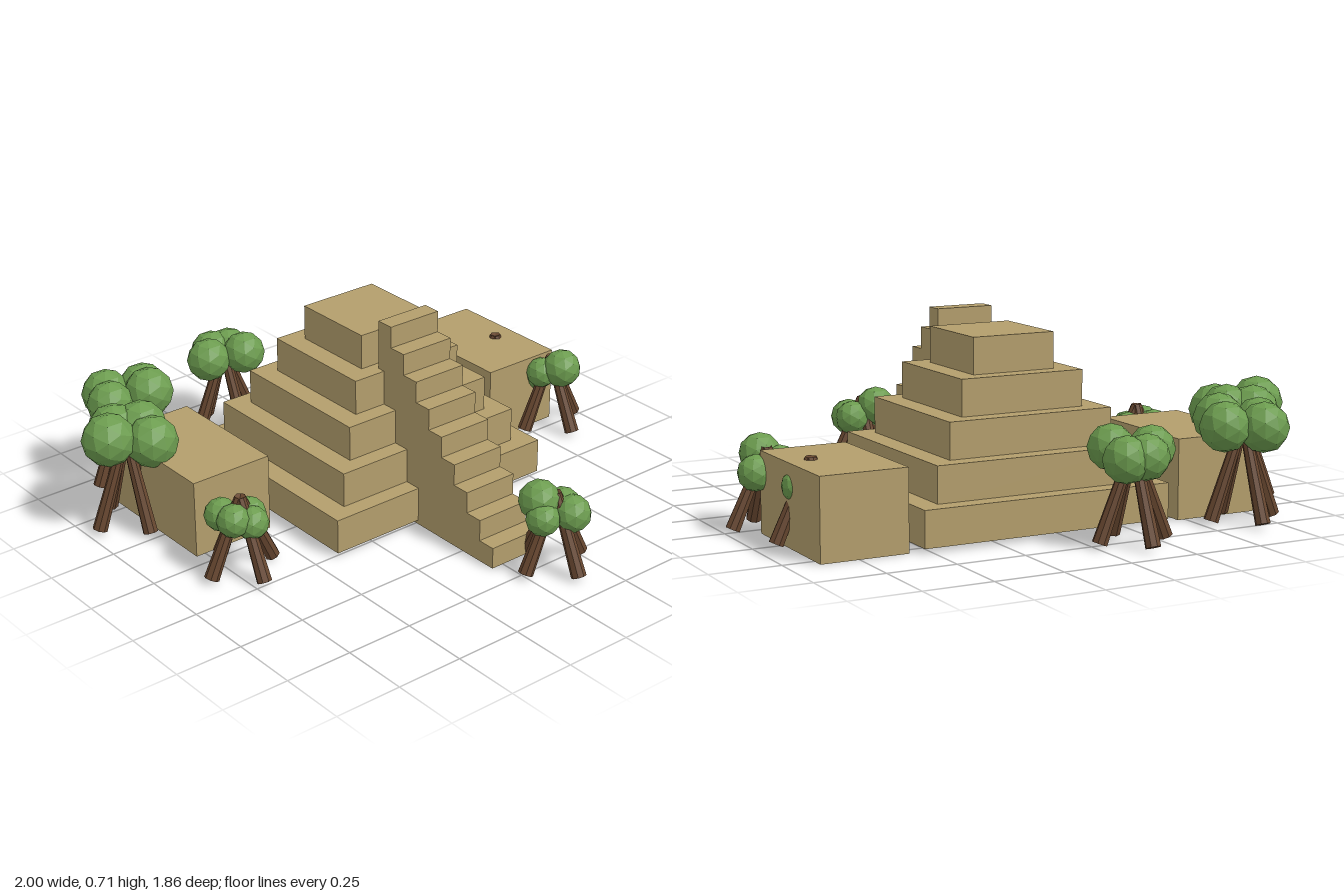
import * as THREE from 'three';

const material = (name, color, flatShading = false) => {
  const m = new THREE.MeshStandardMaterial({ color, flatShading });
  m.name = name;
  return m;
};

export function createModel() {
  const sand = material('sandstone', 0xb39e6c);
  const bark = material('bark', 0x66462f, true);
  const leaf = material('foliage', 0x6c9c4f, true);
  const model = new THREE.Group();
  model.name = 'steppedPyramid';

  // Box given by its limits on each axis
  const block = (name, x0, x1, y0, y1, z0, z1) => {
    const mesh = new THREE.Mesh(new THREE.BoxGeometry(x1 - x0, y1 - y0, z1 - z0), sand);
    mesh.position.set((x0 + x1) / 2, (y0 + y1) / 2, (z0 + z1) / 2);
    mesh.name = name;
    model.add(mesh);
  };

  // Pyramid tiers
  for (let i = 0; i < 5; i++) {
    const hx = 0.47 - i * 0.0785, hz = 0.42 - i * 0.064, y = 0.016 + i * 0.129;
    block('tier' + (i + 1), 0.059 - hx, 0.059 + hx, y, y + 0.129, -0.159 - hz, -0.159 + hz);
  }

  // Staircase of solid columns
  const rise = 0.715 / 9, run = 0.0685;
  for (let i = 0; i < 9; i++) {
    const z = 0.655 - i * run;
    block('stair' + (i + 1), -0.048, 0.166, 0, (i + 1) * rise, z - run, z);
  }

  // Side buildings
  block('leftBuilding', 0.572, 0.888, 0, 0.288, -0.55, -0.053);
  block('rightBuilding', -0.786, -0.47, 0, 0.288, -0.55, -0.053);

  // Tree: four leaning trunks and four leaf clumps [x, y, z, radius]
  const up = new THREE.Vector3(0, 1, 0);
  const tree = (name, x, z, height, clumps) => {
    const group = new THREE.Group();
    group.name = name;
    for (let i = 0; i < 4; i++) {
      const a = i * Math.PI / 2;
      const foot = new THREE.Vector3(x + 0.128 * Math.cos(a), 0.015, z + 0.128 * Math.sin(a));
      const top = new THREE.Vector3(x + 0.003 * Math.cos(a), height, z + 0.003 * Math.sin(a));
      const axis = top.clone().sub(foot);
      const trunk = new THREE.Mesh(new THREE.CylinderGeometry(0.018, 0.027, axis.length(), 8), bark);
      trunk.position.copy(foot).add(top).multiplyScalar(0.5);
      trunk.quaternion.setFromUnitVectors(up, axis.normalize());
      trunk.name = 'trunk';
      group.add(trunk);
    }
    for (const [cx, cy, cz, r] of clumps) {
      const clump = new THREE.Mesh(new THREE.IcosahedronGeometry(r, 1), leaf);
      clump.position.set(cx, cy, cz);
      clump.name = 'leafClump';
      group.add(clump);
    }
    model.add(group);
  };

  // Short trees
  tree('frontTree', 0.127, 0.77, 0.285, [
    [0.085, 0.258, 0.735, 0.073], [0.057, 0.215, 0.785, 0.06],
    [0.166, 0.21, 0.812, 0.068], [0.175, 0.215, 0.755, 0.065]]);
  tree('frontRightTree', -0.717, 0.12, 0.285, [
    [-0.762, 0.215, 0.07, 0.06], [-0.675, 0.205, 0.11, 0.06],
    [-0.76, 0.22, 0.14, 0.06], [-0.7, 0.2, 0.16, 0.06]]);
  tree('leftTree', 0.848, -0.014, 0.285, [
    [0.85, 0.258, 0.042, 0.073], [0.80, 0.235, -0.015, 0.058],
    [0.9, 0.21, -0.045, 0.065], [0.825, 0.21, -0.055, 0.062]]);
  tree('buriedTree', 0.80, -0.28, 0.292, [
    [0.85, 0.205, -0.29, 0.058], [0.77, 0.22, -0.25, 0.06],
    [0.76, 0.21, -0.31, 0.06], [0.81, 0.2, -0.24, 0.06]]);

  // Tall trees
  tree('backTree', -0.14, -0.78, 0.33, [
    [-0.15, 0.305, -0.845, 0.08], [-0.082, 0.3, -0.832, 0.082],
    [-0.214, 0.315, -0.773, 0.082], [-0.085, 0.325, -0.725, 0.08]]);
  tree('backRightTree', -0.655, -0.67, 0.35, [
    [-0.695, 0.34, -0.735, 0.09], [-0.567, 0.345, -0.687, 0.09],
    [-0.735, 0.345, -0.645, 0.085], [-0.59, 0.362, -0.612, 0.09]]);
  tree('rightTree', -0.83, -0.4, 0.35, [
    [-0.835, 0.345, -0.468, 0.095], [-0.75, 0.35, -0.425, 0.093],
    [-0.906, 0.36, -0.39, 0.096], [-0.77, 0.335, -0.325, 0.094]]);

  return model;
}
